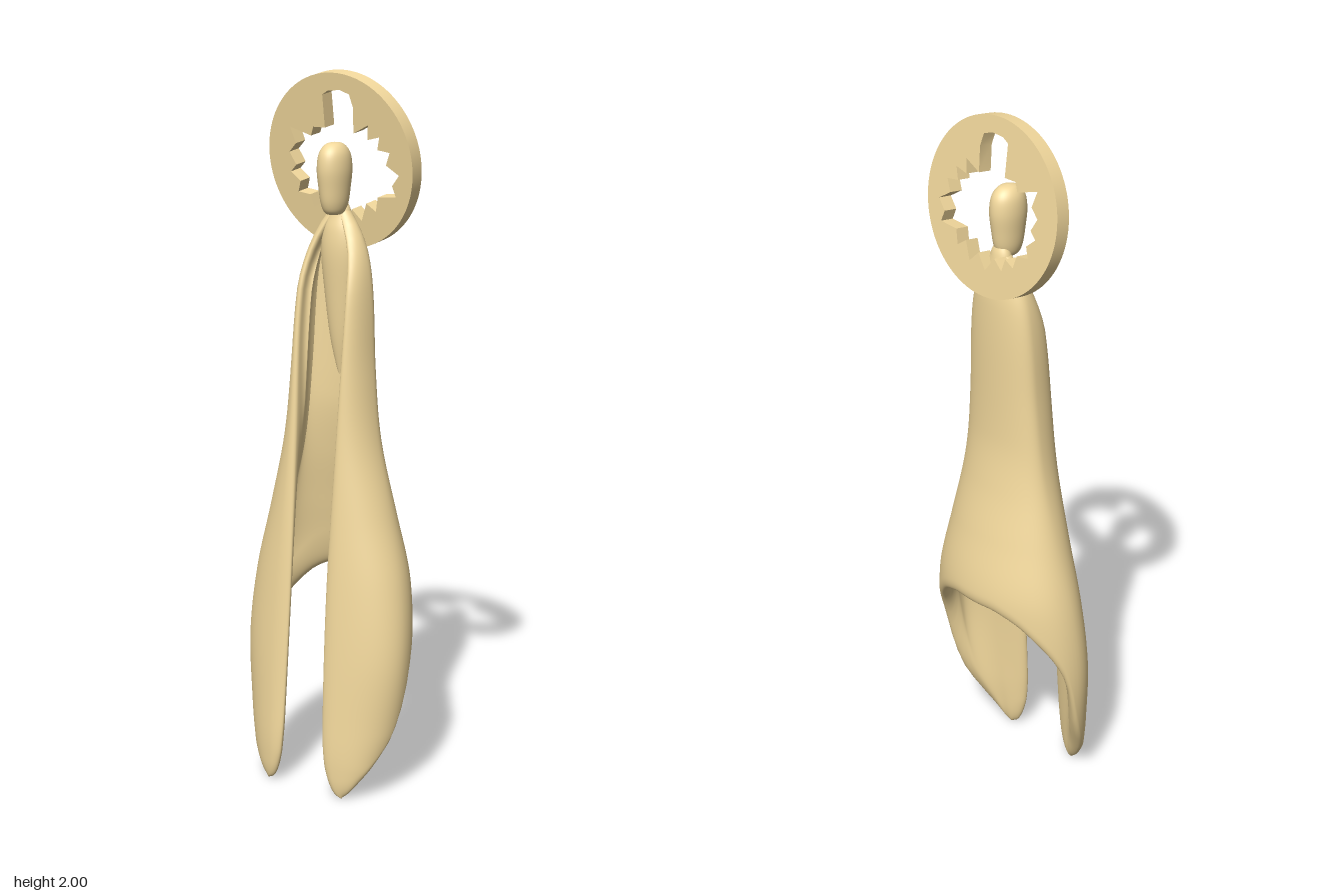
import * as THREE from 'three';
import { mergeVertices, toCreasedNormals } from 'three/addons/utils/BufferGeometryUtils.js';

const material = new THREE.MeshStandardMaterial({ color: 0xf3d99d, side: THREE.DoubleSide });

// Smooth interpolation through [position, value] pairs
function curve(keys) {
  const slope = (i) => {
    const a = keys[Math.max(i - 1, 0)], b = keys[Math.min(i + 1, keys.length - 1)];
    return (b[1] - a[1]) / (b[0] - a[0]);
  };
  return (p) => {
    p = THREE.MathUtils.clamp(p, keys[0][0], keys[keys.length - 1][0]);
    let i = 0;
    while (i < keys.length - 2 && p > keys[i + 1][0]) i++;
    const [x0, y0] = keys[i], [x1, y1] = keys[i + 1];
    const h = x1 - x0, t = (p - x0) / h, t2 = t * t, t3 = t2 * t;
    return (2 * t3 - 3 * t2 + 1) * y0 + (t3 - 2 * t2 + t) * h * slope(i)
      + (3 * t2 - 2 * t3) * y1 + (t3 - t2) * h * slope(i + 1);
  };
}

// Robe section by height: half width, back, widest depth, front edge
const halfWidth = curve([[0, 0.138], [0.01, 0.15], [0.03, 0.165], [0.06, 0.181], [0.1, 0.2], [0.2, 0.231],
  [0.4, 0.251], [0.6, 0.233], [0.8, 0.183], [1, 0.135], [1.2, 0.112], [1.4, 0.099], [1.5, 0.083],
  [1.57, 0.055], [1.62, 0.02]]);
const backZ = curve([[0, -0.1], [0.4, -0.125], [0.55, -0.138], [0.65, -0.137], [0.8, -0.108], [0.95, -0.078],
  [1.1, -0.061], [1.5, -0.062], [1.62, -0.045]]);
const midZ = curve([[0, 0.115], [0.1, 0.07], [0.2, 0.035], [0.4, 0.02], [0.65, 0], [1, -0.01], [1.62, -0.03]]);
const frontZ = curve([[0, 0.135], [0.1, 0.142], [0.2, 0.139], [0.6, 0.112], [1, 0.076], [1.4, 0.038],
  [1.52, 0.006], [1.62, -0.026]]);
const frontX = curve([[0, 0.126], [0.01, 0.11], [0.03, 0.097], [0.06, 0.086], [0.1, 0.077], [0.2, 0.069],
  [0.6, 0.063], [1, 0.068], [1.4, 0.074], [1.52, 0.056], [1.62, 0.008]]);
// Hem height from centre back (0) to front edge (1)
const hem = curve([[0, 0.6], [0.12, 0.595], [0.25, 0.545], [0.41, 0.4], [0.5, 0.2], [0.57, 0.09],
  [0.68, 0.022], [0.8, 0.004], [0.9, 0], [1, 0.006]]);
const TOP = 1.62;

// Middle of the cloth: u runs -1..1 around the body, v from shoulders to hem
function robePoint(u, v) {
  const a = Math.abs(u) * Math.PI, s = Math.sin(a), c = Math.cos(a);
  const y = THREE.MathUtils.lerp(TOP, hem(Math.abs(u)), v);
  const w = halfWidth(y), m = midZ(y), fx = frontX(y);
  const x = c > 0 ? w * s : fx + (w - fx) * s;
  const z = m - c * (c > 0 ? m - backZ(y) : frontZ(y) - m);
  return new THREE.Vector3(Math.sign(u) * x, y, z);
}

// Two offset skins that meet in a rounded rim; the lining is the thicker one
function robeGeometry() {
  const nu = 112, nv = 72, positions = [], index = [], d = 0.002;
  const round = (e) => Math.sqrt(Math.max(0, 1 - (1 - Math.min(1, e)) ** 2));
  for (const side of [1, -1]) {
    const base = positions.length / 3;
    for (let j = 0; j <= nv; j++) for (let i = 0; i <= nu; i++) {
      const u = Math.sin((i / nu - 0.5) * Math.PI), v = Math.sin((j / nv) * Math.PI / 2);
      const p = robePoint(u, v);
      const du = robePoint(Math.min(1, u + d), v).sub(robePoint(Math.max(-1, u - d), v));
      const dv = robePoint(u, Math.min(1, v + d)).sub(robePoint(u, Math.max(0, v - d)));
      const n = du.cross(dv).normalize();
      const rim = i === 0 || i === nu || j === nv;
      const depth = side > 0 ? 0.013 : Math.min(0.034, halfWidth(p.y) * 0.28);
      const t = rim ? 0 : depth * round((1 - v) * (side > 0 ? 28 : 9)) * round((1 - Math.abs(u)) * (side > 0 ? 12 : 6));
      positions.push(...p.addScaledVector(n, side * t).toArray());
    }
    for (let j = 0; j < nv; j++) for (let i = 0; i < nu; i++) {
      const a = base + j * (nu + 1) + i, b = a + 1, c = a + nu + 1, e = c + 1;
      if (side > 0) index.push(a, b, c, b, e, c);
      else index.push(a, c, b, b, c, e);
    }
  }
  let g = new THREE.BufferGeometry();
  g.setAttribute('position', new THREE.Float32BufferAttribute(positions, 3));
  g.setIndex(index);
  g = mergeVertices(g, 1e-5);
  g.computeVertexNormals();
  return g;
}

// Ring with a jagged opening and a slot at the top
function haloGeometry() {
  const shape = new THREE.Shape().absarc(0, 0, 0.241, 0, Math.PI * 2, false);
  const opening = [[-4, 9], [-4, 18], [-2, 19.2], [2, 19.5], [5, 18.5], [6, 15], [5.5, 8], [10.5, 10.5],
    [10, 6.5], [14, 7.5], [13, 4], [17, 3.5], [15.5, 0], [19.5, -2.5], [17, -5.5], [18, -8.5], [12, -9],
    [11, -13], [8, -11], [6, -16], [3, -13], [0, -17], [-3, -13], [-6, -15.5], [-7, -12], [-10, -13.5],
    [-11, -10], [-15, -9.5], [-14, -6.5], [-17, -4], [-15, -2], [-17, 1.5], [-14.5, 4], [-16, 8.5],
    [-9, 6.5], [-8, 9]];
  shape.holes.push(new THREE.Path(opening.map(([x, y]) => new THREE.Vector2(x / 100, y / 100))));
  const g = new THREE.ExtrudeGeometry(shape, { depth: 0.042, bevelEnabled: false, curveSegments: 48 });
  g.translate(0, 0, -0.021);
  return toCreasedNormals(g, 0.5);
}

// Smooth turned form from a few [radius, height] points
function turned(profile) {
  const spline = new THREE.SplineCurve(profile.map(([r, y]) => new THREE.Vector2(r, y)));
  const pts = spline.getPoints(40).map((p) => new THREE.Vector2(Math.max(0, p.x), p.y));
  return new THREE.LatheGeometry(pts, 40);
}

export function createModel() {
  const group = new THREE.Group();
  const add = (name, geometry) => {
    const mesh = new THREE.Mesh(geometry, material);
    mesh.name = name;
    group.add(mesh);
    return mesh;
  };

  add('robe', robeGeometry());

  const head = add('head', turned([[0, 1.615], [0.022, 1.62], [0.033, 1.645], [0.039, 1.69], [0.043, 1.74],
    [0.038, 1.782], [0.022, 1.806], [0, 1.812]]));
  head.scale.z = 1.3;
  head.position.z = -0.006;

  // Shoulders and neck fill the robe where it closes
  const body = add('shouldersAndNeck', turned([[0, 1.15], [0.03, 1.27], [0.05, 1.42], [0.058, 1.51],
    [0.052, 1.57], [0.036, 1.612], [0.026, 1.64], [0, 1.68]]));
  body.scale.z = 0.72;
  body.position.z = -0.032;

  const halo = add('halo', haloGeometry());
  halo.position.set(0, 1.76, -0.048);
  halo.rotation.x = 0.132;

  return group;
}
